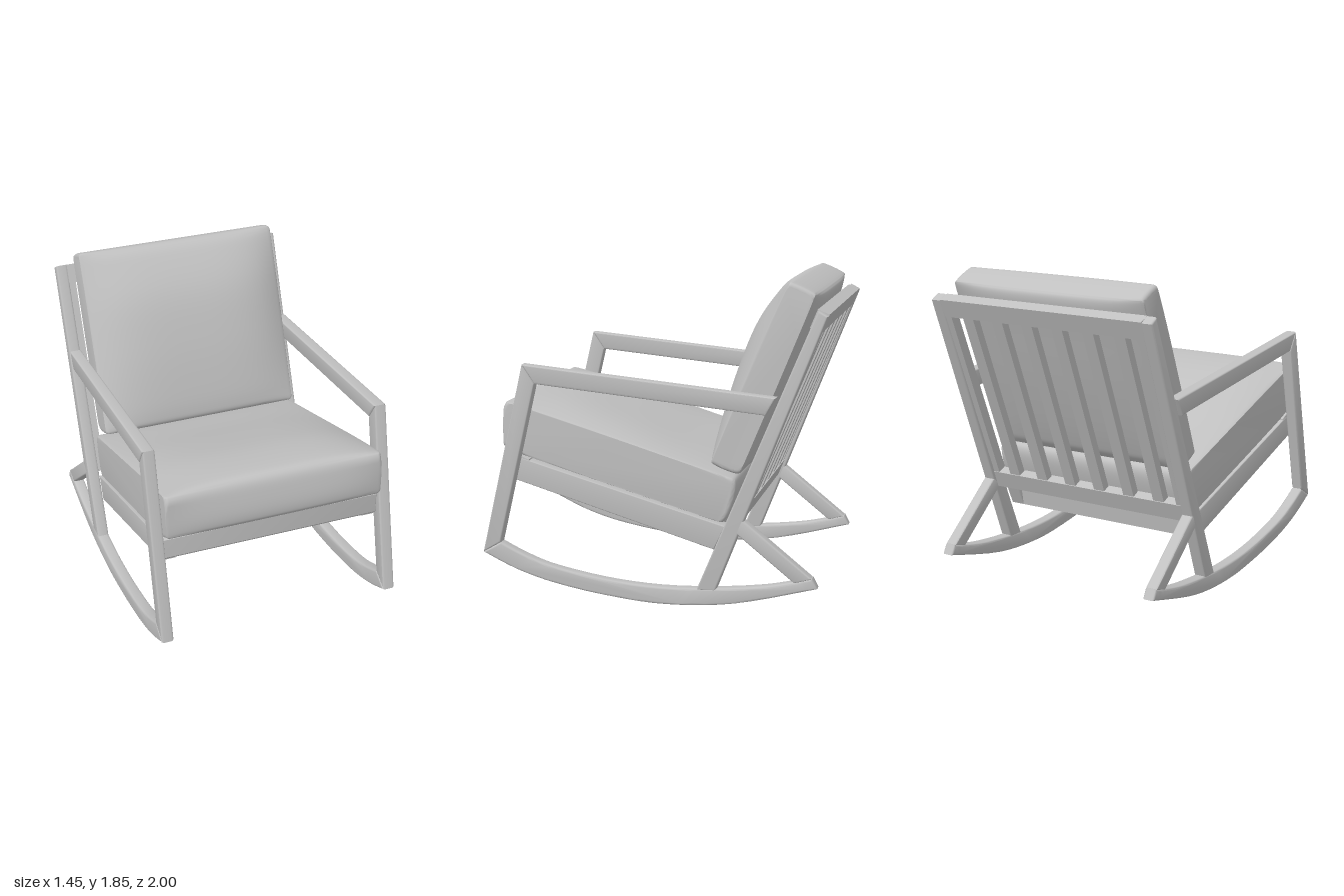
import * as THREE from 'three';
import { toCreasedNormals } from 'three/addons/utils/BufferGeometryUtils.js';

const wood = new THREE.MeshStandardMaterial({ color: 0xc0c0c0 });
wood.name = 'light grey';

function add(parent, name, geometry, x = 0, y = 0, z = 0) {
  const mesh = new THREE.Mesh(geometry, wood);
  mesh.name = name;
  mesh.position.set(x, y, z);
  parent.add(mesh);
  return mesh;
}

// Extrudes a side profile of [z, y] points across x, centred on x = 0
function sideExtrude(points, width, bevel, bevelSegments, steps = 1) {
  const shape = new THREE.Shape(points.map(([z, y]) => new THREE.Vector2(z, y)));
  const g = new THREE.ExtrudeGeometry(shape, {
    depth: width - 2 * bevel, bevelThickness: bevel, bevelSize: bevel,
    bevelOffset: -bevel, bevelSegments, steps,
  });
  g.translate(0, 0, -width / 2 + bevel);
  g.rotateY(-Math.PI / 2);
  return g;
}

const beam = (points, width, bevel = 0.006) =>
  toCreasedNormals(sideExtrude(points, width, bevel, 3), 0.6);

// Smooth open curve through [z, y] points
function smooth(points, count) {
  const curve = new THREE.SplineCurve(points.map(([z, y]) => new THREE.Vector2(z, y)));
  return curve.getPoints(count).map((p) => [p.x, p.y]);
}

// Soft cushion from a closed side profile; what bulges past a seam line
// [az, ay, bz, by] is flattened towards the two ends
function cushion(points, width, seams) {
  const curve = new THREE.CatmullRomCurve3(
    points.map(([z, y]) => new THREE.Vector3(z, y, 0)), true, 'centripetal');
  const outline = curve.getPoints(90).slice(0, -1).map((p) => [p.x, p.y]);
  const g = sideExtrude(outline, width, 0.024, 4, 20);
  const pos = g.attributes.position;
  for (let i = 0; i < pos.count; i++) {
    const end = 0.9 * Math.min(1, Math.abs(pos.getX(i)) / (width / 2)) ** 4;
    for (const [az, ay, bz, by] of seams) {
      const length = Math.hypot(bz - az, by - ay);
      const nz = (ay - by) / length, ny = (bz - az) / length;
      const bulge = (pos.getZ(i) - az) * nz + (pos.getY(i) - ay) * ny;
      if (bulge > 0) {
        pos.setZ(i, pos.getZ(i) - nz * bulge * end);
        pos.setY(i, pos.getY(i) - ny * bulge * end);
      }
    }
  }
  return toCreasedNormals(g, 0.9);
}

export function createModel() {
  const chair = new THREE.Group();
  chair.name = 'rockingChair';

  // Side frames
  const rocker = [
    ...smooth([[1, 0.235], [0.8, 0.145], [0.57, 0.078], [0.25, 0.025], [-0.1, 0],
      [-0.5, 0.035], [-0.97, 0.157]], 30),
    ...smooth([[-0.94, 0.215], [-0.84, 0.187], [-0.66, 0.147], [-0.39, 0.115], [-0.07, 0.1],
      [0.25, 0.12], [0.57, 0.175], [0.75, 0.235], [0.89, 0.3]], 30),
  ];
  const sideParts = {
    rocker,
    frontLeg: [[1, 0.235], [0.89, 0.3], [0.667, 1.245], [0.74, 1.355]],
    armrest: [[0.74, 1.355], [0.667, 1.245], [-0.667, 1.125], [-0.722, 1.225]],
    backLeg: [[-0.28, 0.1], [-0.39, 0.1], [-1, 1.68], [-0.945, 1.71]],
    rearBrace: [[-0.54, 0.53], [-0.47, 0.475], [-0.84, 0.18], [-0.94, 0.21]],
  };
  for (const side of [1, -1]) {
    const frame = new THREE.Group();
    frame.name = side > 0 ? 'leftFrame' : 'rightFrame';
    for (const [name, points] of Object.entries(sideParts)) {
      add(frame, name, beam(points, 0.07, 0.012), side * 0.69);
    }
    // Seat side rail with its corner block and screw
    add(frame, 'seatSideRail',
      beam([[0.81, 0.665], [0.81, 0.805], [-0.43, 0.465], [-0.366, 0.325]], 0.087), side * 0.613);
    add(frame, 'cornerBlock', new THREE.BoxGeometry(0.1, 0.05, 0.06), side * 0.52, 0.405, -0.26);
    const screw = new THREE.CylinderGeometry(0.022, 0.022, 0.012, 16).rotateX(Math.PI / 2);
    add(frame, 'screw', screw, side * 0.4, 0.405, -0.28);
    chair.add(frame);
  }

  // Seat base
  add(chair, 'seatFrontRail',
    beam([[0.835, 0.695], [0.825, 0.682], [0.73, 0.655], [0.73, 0.79], [0.815, 0.83], [0.835, 0.815]],
      1.31, 0.004));
  add(chair, 'seatRearRail',
    beam([[-0.285, 0.347], [-0.285, 0.49], [-0.39, 0.465], [-0.366, 0.325]], 1.31));
  add(chair, 'seatPanel',
    beam([[0.76, 0.74], [0.76, 0.775], [-0.36, 0.465], [-0.36, 0.425]], 1.15));

  // Slatted back, leaning with the back legs
  const back = new THREE.Group();
  back.name = 'slattedBack';
  back.position.set(0, 0.5, -0.487);
  back.rotation.x = -0.386;
  add(back, 'topRail', new THREE.BoxGeometry(1.32, 0.11, 0.07), 0, 1.235, 0.006);
  add(back, 'lowerRail', new THREE.BoxGeometry(1.32, 0.11, 0.06), 0, 0.03, 0);
  for (let i = 0; i < 6; i++) {
    add(back, 'slat', new THREE.BoxGeometry(0.07, 1.12, 0.05), (i - 2.5) * 0.2, 0.63, 0);
  }
  for (const side of [1, -1]) {
    add(back, 'stile', new THREE.BoxGeometry(0.04, 1.2, 0.06), side * 0.637, 0.59, 0.004);
  }
  chair.add(back);

  // Cushions
  add(chair, 'seatCushion', cushion([
    [0.905, 0.87], [0.915, 0.92], [0.9, 1.03], [0.875, 1.11], [0.845, 1.135], [0.79, 1.14],
    [0.55, 1.105], [0.25, 1.01], [-0.1, 0.88], [-0.42, 0.77], [-0.475, 0.74], [-0.488, 0.7],
    [-0.47, 0.6], [-0.435, 0.51], [-0.4, 0.475], [-0.34, 0.48], [0.1, 0.6],
    [0.55, 0.73], [0.8, 0.815], [0.87, 0.85],
  ], 1.3, [
    [-0.45, 0.745, 0.85, 1.115], [0.885, 1.1, 0.885, 0.86], [0.87, 0.842, -0.4, 0.487],
  ]));

  add(chair, 'backCushion', cushion([
    [-0.765, 1.847], [-0.8, 1.84], [-0.9, 1.795], [-0.93, 1.77], [-0.932, 1.72],
    [-0.85, 1.49], [-0.715, 1.15], [-0.585, 0.86], [-0.55, 0.8], [-0.5, 0.765], [-0.46, 0.767],
    [-0.35, 0.81], [-0.315, 0.84], [-0.315, 0.9], [-0.355, 1.08], [-0.43, 1.33],
    [-0.54, 1.6], [-0.66, 1.77], [-0.72, 1.83],
  ], 1.245, [[-0.755, 1.8, -0.365, 0.87], [-0.53, 0.83, -0.905, 1.76]]));

  return chair;
}
